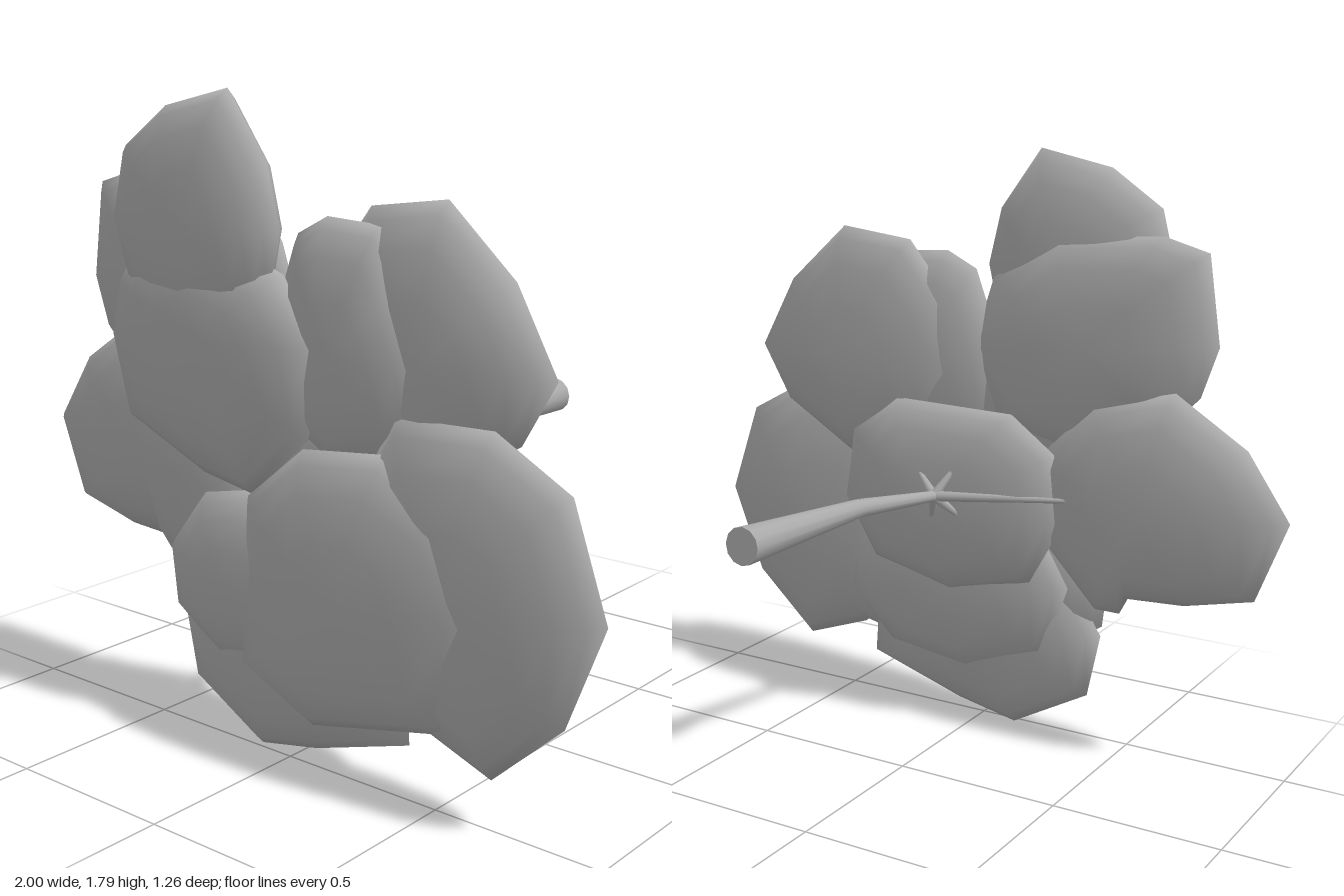
import * as THREE from 'three';

const grey = new THREE.MeshStandardMaterial({ color: 0xaaaaaa });
grey.name = 'grey';

// Flattened leaf clump: rings shrink from the rim outline to a domed front and back.
// outline is [x, y, x, y, ...]; z is the rim plane, front and back the dome heights.
function clump(name, cx, cy, z, front, back, outline) {
  const rim = [];
  for (let i = 0; i < outline.length; i += 2) rim.push([outline[i] - cx, outline[i + 1] - cy]);
  rim.sort((a, b) => Math.atan2(a[1], a[0]) - Math.atan2(b[1], b[0]));
  const rings = [[0.4, 0.95], [0.72, 0.78], [0.91, 0.42], [1, 0], [0.91, -0.42], [0.72, -0.78], [0.4, -0.95]];
  const n = rim.length, pos = [], idx = [];
  for (const [s, h] of rings) {
    for (const [x, y] of rim) pos.push(cx + x * s, cy + y * s, z + h * (h > 0 ? front : back));
  }
  const frontTip = rings.length * n, backTip = frontTip + 1;
  pos.push(cx, cy, z + front, cx, cy, z - back);
  for (let j = 0; j < n; j++) {
    const k = (j + 1) % n;
    idx.push(frontTip, j, k);
    for (let r = 0; r < rings.length - 1; r++) {
      const a = r * n + j, b = r * n + k, c = a + n, d = b + n;
      idx.push(a, c, b, b, c, d);
    }
    const last = (rings.length - 1) * n;
    idx.push(backTip, last + k, last + j);
  }
  const g = new THREE.BufferGeometry();
  g.setAttribute('position', new THREE.Float32BufferAttribute(pos, 3));
  g.setIndex(idx);
  g.computeVertexNormals();
  const mesh = new THREE.Mesh(g, grey);
  mesh.name = name;
  return mesh;
}

// Tapered round limb between two points.
function limb(name, from, to, r0, r1, sides = 12) {
  const a = new THREE.Vector3(...from), b = new THREE.Vector3(...to);
  const dir = b.clone().sub(a);
  const mesh = new THREE.Mesh(new THREE.CylinderGeometry(r1, r0, dir.length(), sides), grey);
  mesh.position.copy(a).add(b).multiplyScalar(0.5);
  mesh.quaternion.setFromUnitVectors(new THREE.Vector3(0, 1, 0), dir.normalize());
  mesh.name = name;
  return mesh;
}

export function createModel() {
  const model = new THREE.Group();
  model.name = 'tree';

  // Foliage
  const foliage = new THREE.Group();
  foliage.name = 'foliage';
  foliage.add(
    clump('topClump', -0.26, 1.46, 0.53, 0.08, 0.09,
      [-0.15, 1.8, -0.02, 1.62, 0.02, 1.45, -0.03, 1.24, -0.3, 1.15, -0.53, 1.26, -0.59, 1.45, -0.54, 1.64, -0.38, 1.75]),
    clump('upperLeftBackClump', -0.36, 1.25, 0.47, 0.08, 0.09,
      [-0.71, 1.53, -0.57, 1.57, -0.25, 1.55, -0.03, 1.42, 0.04, 1.2, -0.05, 0.97, -0.35, 0.9, -0.61, 1.03, -0.7, 1.12, -0.75, 1.27]),
    clump('upperFrontClump', -0.2, 1.16, 0.52, 0.085, 0.09,
      [-0.52, 1.38, -0.3, 1.43, -0.12, 1.39, 0.02, 1.34, 0.155, 1.16, 0.1, 0.92, -0.1, 0.74, -0.28, 0.77, -0.57, 0.89, -0.63, 1.12, -0.59, 1.28]),
    clump('leftClump', -0.58, 0.8, 0.41, 0.08, 0.09,
      [-1, 0.81, -0.87, 1, -0.65, 1.14, -0.4, 1.08, -0.22, 0.9, -0.24, 0.65, -0.42, 0.46, -0.5, 0.46, -0.52, 0.51, -0.7, 0.52, -0.91, 0.57]),
    clump('bottomClump', -0.02, 0.36, 0.48, 0.08, 0.08,
      [-0.12, 0.01, -0.37, 0.15, -0.41, 0.35, -0.25, 0.6, 0.1, 0.65, 0.38, 0.45, 0.4, 0.15, 0.08, 0.05]),
    clump('lowerLeftClump', -0.15, 0.49, 0.51, 0.08, 0.08,
      [-0.42, 0.55, -0.29, 0.71, -0.1, 0.75, 0.1, 0.7, 0.15, 0.45, 0.02, 0.28, -0.22, 0.25, -0.4, 0.37]),
    clump('lowerFrontClump', 0.26, 0.54, 0.54, 0.09, 0.1,
      [-0.11, 0.54, -0.1, 0.74, 0.1, 0.9, 0.38, 0.93, 0.62, 0.82, 0.74, 0.56, 0.58, 0.25, 0.12, 0.15, -0.13, 0.26]),
    clump('rightClump', 0.6, 0.61, 0.51, 0.09, 0.09,
      [0.38, 1.02, 0.68, 1.03, 0.9, 0.91, 1, 0.62, 0.89, 0.34, 0.68, 0.15, 0.46, 0.23, 0.25, 0.4, 0.22, 0.75]),
    clump('upperRightClump', 0.46, 1.15, 0.43, 0.09, 0.08,
      [0.48, 1.55, 0.24, 1.52, 0.1, 1.35, 0.06, 1.12, 0.2, 0.9, 0.45, 0.83, 0.7, 0.98, 0.8, 1.15, 0.68, 1.37]),
    clump('upperMiddleClump', 0.2, 1.15, 0.47, 0.08, 0.08,
      [0.03, 1.44, 0.13, 1.49, 0.31, 1.48, 0.39, 1.33, 0.47, 1.14, 0.42, 0.92, 0.15, 0.85, -0.02, 0.95, -0.06, 1.2]),
    clump('backClump', 0.07, 0.76, 0.37, 0.08, 0.085,
      [-0.3, 0.92, -0.15, 1.03, 0.25, 1.04, 0.41, 0.92, 0.44, 0.7, 0.33, 0.52, 0.05, 0.45, -0.22, 0.52, -0.33, 0.72]),
    clump('lowerBackClump', 0.06, 0.46, 0.43, 0.07, 0.075,
      [-0.32, 0.5, -0.2, 0.7, 0.15, 0.76, 0.42, 0.6, 0.46, 0.38, 0.3, 0.22, 0.02, 0.18, -0.25, 0.28])
  );

  // Trunk and the twigs that hold the foliage
  const fork = [0.045, 0.78, 0.25], bend = [0.085, 0.818, -0.1];
  const trunk = new THREE.Group();
  trunk.name = 'trunk';
  trunk.add(
    limb('lowerTrunk', [0.093, 0.84, -0.63], bend, 0.052, 0.027),
    limb('upperTrunk', bend, fork, 0.027, 0.016)
  );
  const tips = [[-0.38, 0.8, 0.35], [0.13, 0.84, 0.3], [0.0, 0.87, 0.31], [0.09, 0.68, 0.31], [-0.03, 0.7, 0.31]];
  for (const tip of tips) trunk.add(limb('twig', fork, tip, 0.016, 0.006, 8));

  model.add(foliage, trunk);
  return model;
}
